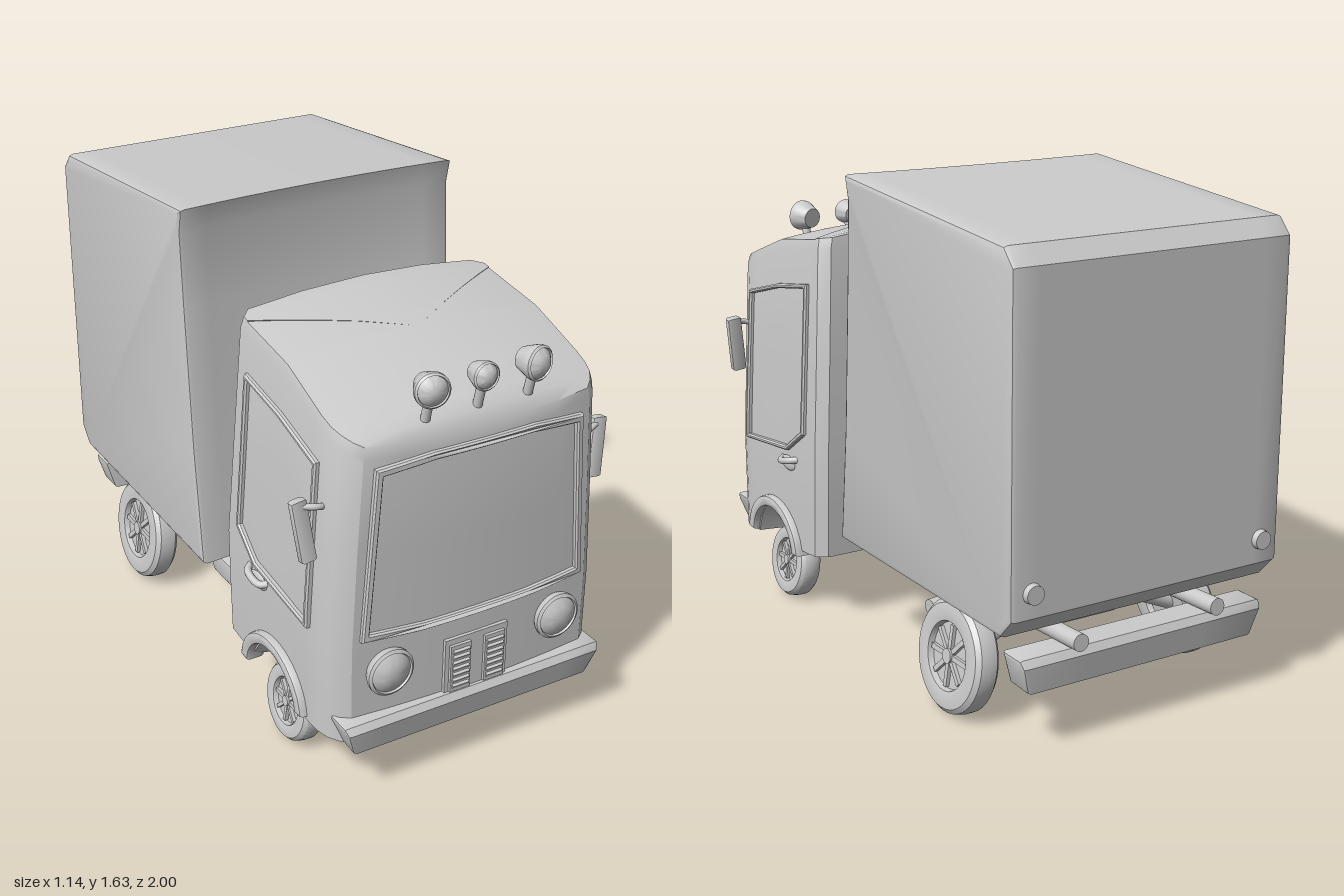
import * as THREE from 'three';
import { toCreasedNormals } from 'three/addons/utils/BufferGeometryUtils.js';

const mat = new THREE.MeshStandardMaterial({ color: 0xcccccc });
const V = (x, y, z) => new THREE.Vector3(x, y, z);

function add(parent, name, geo, x = 0, y = 0, z = 0) {
  const m = new THREE.Mesh(geo, mat);
  m.name = name;
  m.position.set(x, y, z);
  parent.add(m);
  return m;
}
// piecewise linear lookup, xs ascending
function lerpTable(table, x) {
  for (let i = 1; i < table.length; i++) {
    const [x0, y0] = table[i - 1], [x1, y1] = table[i];
    if (x <= x1) return y0 + (y1 - y0) * Math.max(0, (x - x0) / (x1 - x0));
  }
  return table[table.length - 1][1];
}
// extrude a [z, y] side profile across x
function extrudeX(profile, width, bevel, steps = 1) {
  const shape = new THREE.Shape(profile.map(([z, y]) => new THREE.Vector2(-z, y)));
  const g = new THREE.ExtrudeGeometry(shape, { depth: width - 2 * bevel, steps, bevelSize: bevel, bevelThickness: bevel, bevelOffset: -bevel, bevelSegments: 2 });
  return g.rotateY(Math.PI / 2).translate(-width / 2 + bevel, 0, 0);
}
function warp(g, fn) {
  const p = g.attributes.position, v = V(0, 0, 0);
  for (let i = 0; i < p.count; i++) {
    fn(v.fromBufferAttribute(p, i));
    p.setXYZ(i, v.x, v.y, v.z);
  }
  return toCreasedNormals(g, 0.5);
}
const tube = (pts, r) => new THREE.TubeGeometry(new THREE.CatmullRomCurve3(pts), 24, r, 12);
// solid rod between two points
function rod(parent, name, a, b, r) {
  const d = b.clone().sub(a), mid = a.clone().add(b).multiplyScalar(0.5);
  const m = add(parent, name, new THREE.CylinderGeometry(r, r, d.length(), 16), mid.x, mid.y, mid.z);
  m.quaternion.setFromUnitVectors(V(0, 1, 0), d.normalize());
}

// cab surface rules
const taper = y => lerpTable([[0.6, 1], [1.38, 0.9], [1.42, 0.89]], y);
const roofY = (x, z) => lerpTable([[0.27, 1.42], [0.59, 1.375], [0.9, 1.265], [0.94, 1.235], [0.965, 1.18]], z) - 0.18 * x * x;
const floorY = z => 0.26 - 0.06 * (z - 0.25) / 0.7;
const frontZ = x => 0.965 - 0.12 * x * x;
const archZ = 0.59, archY = 0.21;

function cabGeometry() {
  const half = [[0.25, 0.235], [0.465, 0.235]];
  for (let i = 0; i <= 20; i++) half.push([0.5, 0.27 + i * 0.0265]);
  half.push([0.495, 0.85], [0.482, 0.89], [0.46, 0.92], [0.43, frontZ(0.43)], [0.3, frontZ(0.3)], [0.15, frontZ(0.15)]);
  const plan = [[0, 0.235], ...half, [0, 0.965], ...half.slice().reverse().map(([x, z]) => [-x, z])];
  const n = plan.length, pos = [], index = [];
  // rows: [scale, height fraction, flat floor]
  const rows = [[0, 0, 1], [0.72, 0, 1], [0.72, 0, 0], [1, 0, 0], [1, 0.15], [1, 0.33], [1, 0.66], [1, 0.97],
    [0.985, 1], [0.92, 1], [0.8, 1], [0.6, 1], [0.35, 1], [0, 1]];
  for (const [s, t, flat] of rows) for (const [px, pz] of plan) {
    let z = 0.6 + (pz - 0.6) * s;
    let low = floorY(z);
    const d = 0.15 ** 2 - (pz - archZ) ** 2;
    if (!flat && Math.abs(px) > 0.49 && d > 0) low = Math.max(low, archY + Math.sqrt(d));
    const high = roofY(px * s * 0.9, z);
    const y = low + (high - low) * t;
    if (pz < 0.3) z += s * 0.03 * Math.abs(y - 0.65) / 0.75;
    pos.push(px * s * taper(y), y, z);
  }
  for (let r = 0; r < rows.length - 1; r++) for (let i = 0; i < n; i++) {
    const a = r * n + i, b = r * n + (i + 1) % n;
    index.push(a, a + n, b, b, a + n, b + n);
  }
  const g = new THREE.BufferGeometry();
  g.setAttribute('position', new THREE.Float32BufferAttribute(pos, 3));
  g.setIndex(index);
  return toCreasedNormals(g, 0.55);
}

// raised frame around a window outline, before it is laid on the cab wall
function frameGeometry(corners, rim) {
  const pts = [];
  corners.forEach(([x, y], i) => {
    const [x2, y2] = corners[(i + 1) % corners.length];
    for (let k = 0; k < 8; k++) pts.push(new THREE.Vector2(x + (x2 - x) * k / 8, y + (y2 - y) * k / 8));
  });
  const box = new THREE.Box2().setFromPoints(pts);
  const c = box.getCenter(new THREE.Vector2()), size = box.getSize(new THREE.Vector2());
  const shape = new THREE.Shape(pts);
  shape.holes.push(new THREE.Path(pts.map(p => new THREE.Vector2(
    c.x + (p.x - c.x) * (1 - 2 * rim / size.x), c.y + (p.y - c.y) * (1 - 2 * rim / size.y)))));
  return new THREE.ExtrudeGeometry(shape, { depth: 0.016, bevelSize: 0.005, bevelThickness: 0.006, bevelOffset: -0.005, bevelSegments: 1 });
}

function wheel(name, R, w) {
  const g = new THREE.Group();
  g.name = name;
  const h = w / 2, q = R * 0.57;
  const prof = [[0, -h * 0.5], [q, -h * 0.5], [q * 1.05, -h * 0.9], [R * 0.72, -h], [R * 0.9, -h * 0.9], [R * 0.98, -h * 0.6], [R, 0],
    [R * 0.98, h * 0.6], [R * 0.9, h * 0.9], [R * 0.72, h], [q * 1.05, h * 0.9], [q, h * 0.5], [0, h * 0.5]];
  const tyre = new THREE.LatheGeometry(prof.map(p => new THREE.Vector2(...p)), 40);
  add(g, 'tyre', toCreasedNormals(tyre, 0.6).rotateZ(-Math.PI / 2));
  for (let i = 0; i < 8; i++) {
    const a = i * Math.PI / 4;
    const spoke = add(g, 'spoke', new THREE.BoxGeometry(0.02, q * 0.9, R * 0.09), h * 0.55, Math.cos(a) * q / 2, Math.sin(a) * q / 2);
    spoke.rotation.x = a;
  }
  add(g, 'hub', new THREE.CylinderGeometry(R * 0.13, R * 0.13, 0.03, 16).rotateZ(Math.PI / 2), h * 0.6);
  return g;
}

// round lamp facing +z
function lamp(parent, name, r, depth, x, y, z) {
  const prof = [[0, -depth * 0.6], [r * 0.65, -depth * 0.6], [r * 0.95, -depth * 0.1], [r, 0], [r, depth * 0.15],
    [r * 0.88, depth * 0.22], [r * 0.84, depth * 0.15], [r * 0.5, depth * 0.34], [0, depth * 0.4]];
  const g = new THREE.LatheGeometry(prof.map(p => new THREE.Vector2(...p)), 32).rotateX(Math.PI / 2);
  return add(parent, name, toCreasedNormals(g, 0.6), x, y, z);
}

export function createModel() {
  const truck = new THREE.Group();
  truck.name = 'deliveryTruck';

  // cargo box with a bowed, leaning front wall
  const cargo = extrudeX([[0.08, 0.395], [0.035, 0.8], [0, 1.3], [-0.015, 1.56], [0.003, 1.64], [-0.93, 1.555], [-0.98, 1.5], [-0.98, 0.46], [-0.92, 0.395]], 1.01, 0.018, 12);
  add(truck, 'cargoBox', warp(cargo, v => { if (v.z > -0.1) v.z -= 0.022 * (1 - (v.x / 0.5) ** 2); }));

  // cab, windscreen frame, grille, bumper
  add(truck, 'cab', cabGeometry());
  const screen = frameGeometry([[-0.405, 0.565], [-0.2, 0.553], [0.2, 0.553], [0.405, 0.565], [0.365, 1.14], [0.18, 1.157], [-0.18, 1.157], [-0.365, 1.14]], 0.025);
  add(truck, 'windscreenFrame', warp(screen, v => { v.z += frontZ(v.x) - 0.005; }));
  add(truck, 'grillePlate', new THREE.BoxGeometry(0.23, 0.195, 0.03), 0, 0.387, 0.96);
  for (const s of [-1, 1]) {
    add(truck, 'grillePanel', new THREE.BoxGeometry(0.074, 0.168, 0.02), s * 0.063, 0.38, 0.975);
    for (let i = 0; i < 7; i++) add(truck, 'grilleSlat', new THREE.BoxGeometry(0.06, 0.012, 0.012), s * 0.063, 0.317 + i * 0.021, 0.985).rotation.x = 0.5;
  }
  const bumper = extrudeX([[0.88, 0.2], [0.98, 0.183], [1, 0.27], [0.985, 0.293], [0.89, 0.293]], 0.96, 0.012, 8);
  add(truck, 'frontBumper', warp(bumper, v => { v.x *= 1 - 0.08 * (0.295 - v.y) / 0.11; }));

  // everything paired left and right
  for (const s of [-1, 1]) {
    const side = new THREE.Group();
    side.name = s > 0 ? 'leftSide' : 'rightSide';
    side.scale.x = s;
    truck.add(side);

    const win = frameGeometry([[-0.81, 0.568], [-0.47, 0.605], [-0.345, 0.69], [-0.355, 1.22], [-0.58, 1.185], [-0.81, 1.125]], 0.018).rotateY(Math.PI / 2);
    add(side, 'doorWindowFrame', warp(win, v => { v.x += 0.5 * taper(v.y) - 0.006; }));

    const arch = [];
    for (let i = 0; i <= 20; i++) arch.push([0.185, i]);
    for (let i = 20; i >= 0; i--) arch.push([0.145, i]);
    const archPts = arch.map(([r, i]) => [archZ + r * 1.1 * Math.cos(0.1 + i * 0.147), archY + r * Math.sin(0.1 + i * 0.147)]);
    add(side, 'wheelArch', toCreasedNormals(extrudeX(archPts, 0.07, 0.012), 0.6), 0.492);

    add(side, 'doorHandle', tube([V(0.49, 0.565, 0.53), V(0.515, 0.56, 0.51), V(0.518, 0.575, 0.44), V(0.49, 0.58, 0.415)], 0.012));
    add(side, 'doorHandleRecess', new THREE.SphereGeometry(0.03, 16, 10).scale(0.3, 0.9, 1.8), 0.5, 0.555, 0.48);

    // mirror on a short arm
    const mirror = add(side, 'mirror', toCreasedNormals(extrudeX([[-0.015, -0.1], [0.015, -0.1], [0.018, 0.1], [-0.012, 0.1]], 0.055, 0.01), 0.6), 0.532, 0.925, 0.825);
    mirror.rotation.set(-0.12, 0, -0.12);
    add(side, 'mirrorArm', tube([V(0.45, 0.99, 0.83), V(0.49, 1.0, 0.84), V(0.54, 1.005, 0.82)], 0.01));

    lamp(side, 'headlight', 0.08, 0.09, 0.31, 0.44, 0.963);
    lamp(side, 'roofLamp', 0.055, 0.09, 0.183, 1.35, 0.952).rotation.set(-0.08, 0.22, 0);
    rod(side, 'roofLampStalk', V(0.18, 1.24, 0.92), V(0.18, 1.32, 0.94), 0.015);
    add(side, 'rearLight', new THREE.CylinderGeometry(0.03, 0.034, 0.03, 20).rotateX(-Math.PI / 2), 0.43, 0.54, -0.985);

    // chassis rail, wheels and angled half axles
    rod(side, 'chassisRail', V(0.26, 0.29, 0.4), V(0.26, 0.35, -0.99), 0.028);
    for (const [name, R, w, z] of [['frontWheel', 0.134, 0.085, 0.59], ['rearWheel', 0.186, 0.095, -0.565]]) {
      const wh = wheel(name, R, w);
      wh.position.set(0.43, R + 0.005, z);
      wh.rotation.z = 0.15;
      side.add(wh);
      rod(side, 'halfAxle', V(0.41, R + 0.005, z), V(0.12, R + 0.13, z), 0.027);
    }
  }
  lamp(truck, 'roofLampCentre', 0.045, 0.08, 0, 1.35, 0.95).rotation.x = -0.08;
  rod(truck, 'roofLampStalk', V(0, 1.24, 0.92), V(0, 1.32, 0.94), 0.015);

  // rear bumper with slanted ends
  const rear = extrudeX([[-0.86, 0.215], [-0.96, 0.21], [-0.975, 0.3], [-0.96, 0.325], [-0.865, 0.325]], 0.92, 0.012, 4);
  add(truck, 'rearBumper', warp(rear, v => { v.x *= 1 - 0.07 * (0.325 - v.y) / 0.115; }));

  // engine box behind the cab, tank, rear drive housing and exhaust
  add(truck, 'engineBox', new THREE.BoxGeometry(0.49, 0.19, 0.13), 0, 0.515, 0.17);
  add(truck, 'fuelTank', toCreasedNormals(extrudeX([[0.22, 0.225], [0.2, 0.21], [-0.14, 0.21], [-0.155, 0.225], [-0.155, 0.29], [0.22, 0.29]], 0.24, 0.012), 0.6), -0.24);
  add(truck, 'sideBox', new THREE.BoxGeometry(0.12, 0.17, 0.16), -0.3, 0.35, 0.13);
  add(truck, 'driveHousing', new THREE.BoxGeometry(0.24, 0.12, 0.16), 0, 0.31, -0.565);
  add(truck, 'crossMember', new THREE.BoxGeometry(0.52, 0.03, 0.4), 0, 0.33, 0.02);
  add(truck, 'exhaustPipe', tube([V(0.2, 0.44, 0.2), V(0.2, 0.36, 0.17), V(0.18, 0.31, 0.08), V(0.1, 0.28, -0.05), V(0.12, 0.265, -0.2), V(0.22, 0.25, -0.28), V(0.36, 0.24, -0.29)], 0.026));
  rod(truck, 'exhaustTip', V(0.3, 0.243, -0.287), V(0.37, 0.239, -0.291), 0.03);
  return truck;
}
